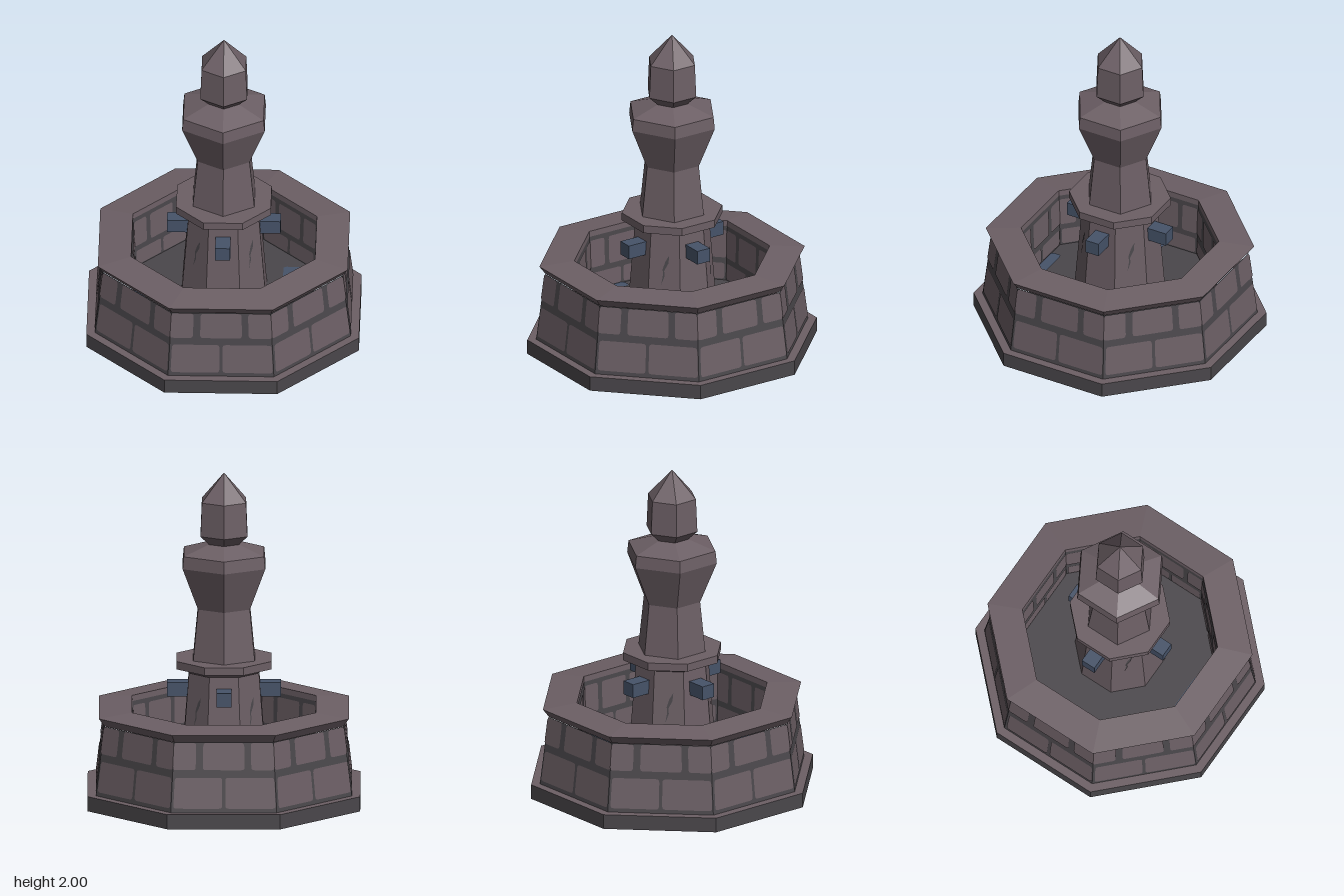
import * as THREE from 'three';
import { mergeGeometries } from 'three/addons/utils/BufferGeometryUtils.js';

const stone = new THREE.MeshStandardMaterial({ color: 0x6c5f65 });
stone.name = 'stone';
const mortar = new THREE.MeshStandardMaterial({ color: 0x4a474b });
mortar.name = 'mortar';
const water = new THREE.MeshStandardMaterial({ color: 0x465369 });
water.name = 'water';

const FLOOR = 0.2;

function flat(geometry) {
  const g = geometry.index ? geometry.toNonIndexed() : geometry;
  g.computeVertexNormals();
  return g;
}

function add(group, name, geometry, material) {
  const mesh = new THREE.Mesh(geometry, material);
  mesh.name = name;
  group.add(mesh);
  return mesh;
}

// Faceted turning; the profile is [half width across flats, y], bottom to top
function turned(sides, profile) {
  const k = 1 / Math.cos(Math.PI / sides);
  const points = profile.map(([a, y]) => new THREE.Vector2(a * k, y));
  return flat(new THREE.LatheGeometry(points, sides, sides === 8 ? Math.PI / 8 : 0));
}

function roundedShape(x0, x1, y0, y1, rx, ry) {
  const s = new THREE.Shape();
  s.moveTo(x0 + rx, y0);
  s.lineTo(x1 - rx, y0);
  s.quadraticCurveTo(x1, y0, x1, y0 + ry);
  s.lineTo(x1, y1 - ry);
  s.quadraticCurveTo(x1, y1, x1 - rx, y1);
  s.lineTo(x0 + rx, y1);
  s.quadraticCurveTo(x0, y1, x0, y1 - ry);
  s.lineTo(x0, y0 + ry);
  s.quadraticCurveTo(x0, y0, x0 + rx, y0);
  return s;
}

// Lays a shape (u = -1..1 across a facet, y = height) on one octagon facet
function onFacet(shape, facet, apothemAt, inward = false) {
  const g = new THREE.ShapeGeometry(shape, 3);
  const p = g.attributes.position;
  for (let i = 0; i < p.count; i++) {
    const a = apothemAt(p.getY(i)) + (inward ? -0.004 : 0.004);
    const x = p.getX(i) * a * Math.tan(Math.PI / 8);
    p.setXYZ(i, inward ? -x : x, p.getY(i), a);
  }
  g.rotateY(facet * Math.PI / 4);
  return flat(g);
}

const outerWall = (y) => 0.765 - (y - 0.09) * 0.119;
const innerWall = (y) => 0.537 + (y - FLOOR) * 0.034;

// Two staggered courses: [u0, u1, y0, y1]
const outerBlocks = [
  [-0.95, -0.03, 0.115, 0.3], [0.03, 0.98, 0.115, 0.3],
  [-1, -0.55, 0.345, 0.508], [-0.41, 0.41, 0.345, 0.508], [0.54, 1, 0.345, 0.508],
];
const innerBlocks = [
  [-0.96, -0.04, 0.21, 0.31], [0.04, 0.96, 0.21, 0.31],
  [-1, -0.55, 0.345, 0.52], [-0.41, 0.41, 0.345, 0.52], [0.54, 1, 0.345, 0.52],
];

function blockwork(blocks, apothemAt, inward) {
  const plates = [];
  for (let facet = 0; facet < 8; facet++) {
    for (const [u0, u1, y0, y1] of blocks) {
      plates.push(onFacet(roundedShape(u0, u1, y0, y1, 0.06, 0.02), facet, apothemAt, inward));
    }
  }
  return mergeGeometries(plates);
}

function createBasin() {
  const basin = new THREE.Group();
  basin.name = 'basin';
  // Plinth with a pale ledge on top
  add(basin, 'plinthSides', turned(8, [[0, 0], [0.815, 0], [0.815, 0.09]]), mortar);
  add(basin, 'plinthLedge', turned(8, [[0.815, 0.09], [0.75, 0.09]]), stone);
  // Mortar walls, outside and inside, then the blocks
  add(basin, 'outerWall', turned(8, [[0.765, 0.09], [0.715, 0.51]]), mortar);
  add(basin, 'innerWallAndFloor', turned(8, [[0.55, 0.575], [0.537, FLOOR], [0, FLOOR]]), mortar);
  add(basin, 'outerBlocks', blockwork(outerBlocks, outerWall, false), stone);
  add(basin, 'innerBlocks', blockwork(innerBlocks, innerWall, true), stone);
  // Sloping coping stone
  add(basin, 'rim', turned(8, [[0.712, 0.51], [0.747, 0.56], [0.55, 0.58], [0.548, 0.545]]), stone);
  // Shallow puddles left on the floor: [x0, x1, z0, z1]
  const puddles = [
    [0.35, 0.53, -0.24, -0.12], [-0.535, -0.47, -0.01, 0.11], [-0.12, 0.12, 0.47, 0.535],
  ];
  for (const [x0, x1, z0, z1] of puddles) {
    const g = new THREE.ShapeGeometry(roundedShape(x0, x1, -z1, -z0, 0.02, 0.02), 3);
    g.rotateX(-Math.PI / 2);
    g.translate(0, FLOOR + 0.005, 0);
    add(basin, 'puddle', g, water);
  }
  return basin;
}

function createPedestal() {
  const pedestal = new THREE.Group();
  pedestal.name = 'pedestal';
  const apothemAt = (y) => 0.225 - (y - 0.58) * 0.075;
  add(pedestal, 'pillar', turned(8, [[apothemAt(FLOOR), FLOOR], [apothemAt(0.79), 0.79]]), stone);
  add(pedestal, 'collar', turned(8, [
    [0.19, 0.78], [0.25, 0.82], [0.283, 0.82], [0.283, 0.868], [0, 0.868],
  ]), stone);
  // Jagged cracks on the diagonal facets
  const crack = new THREE.Shape([
    [-0.2, 0.47], [0.02, 0.53], [-0.02, 0.56], [0.25, 0.61], [0.3, 0.66],
    [0.05, 0.62], [-0.12, 0.57], [-0.08, 0.54],
  ].map(([u, y]) => new THREE.Vector2(u, y)));
  for (const facet of [1, 3, 5, 7]) {
    add(pedestal, 'crack', onFacet(crack, facet, apothemAt), mortar);
  }
  // Four square spouts
  for (let i = 0; i < 4; i++) {
    const g = new THREE.BoxGeometry(0.09, 0.085, 0.15);
    g.translate(0, 0.68, 0.265);
    g.rotateY(i * Math.PI / 2);
    add(pedestal, 'spout', g, water);
  }
  return pedestal;
}

function createColumn() {
  const column = new THREE.Group();
  column.name = 'column';
  // Waisted six-sided shaft with broad shoulders
  add(column, 'shaft', turned(6, [
    [0.184, 0.868], [0.155, 1.18], [0.247, 1.44], [0.24, 1.515], [0.09, 1.57],
  ]), stone);
  // Pointed finial
  add(column, 'finial', turned(6, [
    [0.088, 1.568], [0.14, 1.625], [0.132, 1.83], [0, 2],
  ]), stone);
  return column;
}

export function createModel() {
  const fountain = new THREE.Group();
  fountain.name = 'fountain';
  fountain.add(createBasin(), createPedestal(), createColumn());
  return fountain;
}
